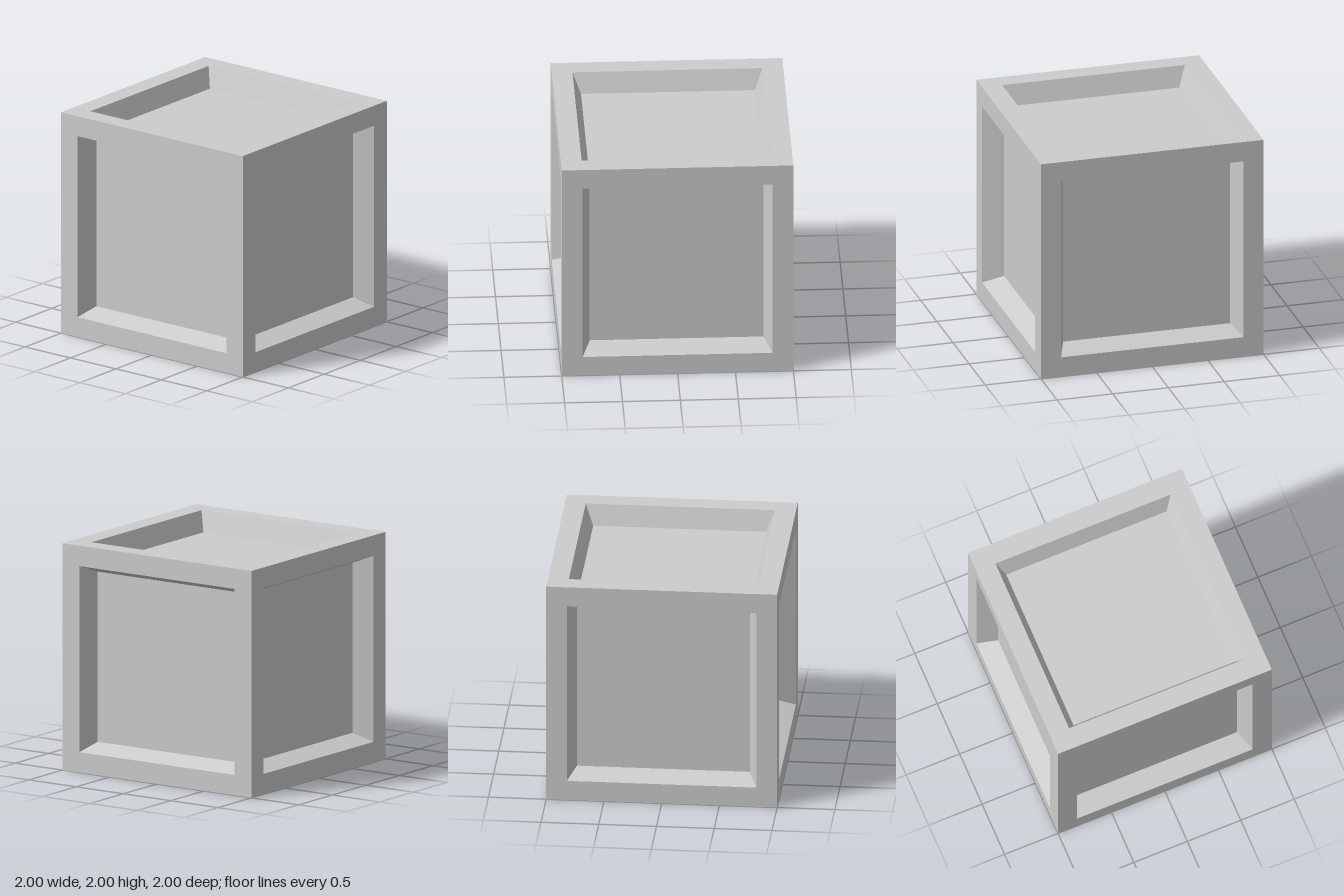
import * as THREE from 'three';

const HALF = 1;        // half of the cube edge
const OPENING = 0.82;  // half width of the recess at the surface
const FLOOR = 0.75;    // half width of the recessed panel
const DEPTH = 0.175;   // depth of the recess

// Four flat quads joining an outer square ring to an inner one, facing +z
function squareRing(outer, outerZ, inner, innerZ) {
  const corners = [[-1, -1], [1, -1], [1, 1], [-1, 1]];
  const positions = [];
  for (let i = 0; i < 4; i++) {
    const [ax, ay] = corners[i];
    const [bx, by] = corners[(i + 1) % 4];
    const a = [ax * outer, ay * outer, outerZ];
    const b = [bx * outer, by * outer, outerZ];
    const c = [bx * inner, by * inner, innerZ];
    const d = [ax * inner, ay * inner, innerZ];
    positions.push(...a, ...b, ...c, ...a, ...c, ...d);
  }
  const geometry = new THREE.BufferGeometry();
  geometry.setAttribute('position', new THREE.Float32BufferAttribute(positions, 3));
  geometry.computeVertexNormals();
  return geometry;
}

export function createModel() {
  const model = new THREE.Group();
  model.name = 'panelledCrate';

  const grey = new THREE.MeshStandardMaterial({ color: 0xcccccc });
  grey.name = 'light grey';

  // Parts of one side, built facing +z
  const parts = {
    frame: squareRing(HALF, HALF, OPENING, HALF),
    recessWalls: squareRing(OPENING, HALF, FLOOR, HALF - DEPTH),
    panel: new THREE.PlaneGeometry(FLOOR * 2, FLOOR * 2).translate(0, 0, HALF - DEPTH),
  };

  // The same side turned to all six directions
  const q = Math.PI / 2;
  const sides = {
    front: [0, 0], left: [0, q], back: [0, 2 * q], right: [0, -q],
    top: [-q, 0], bottom: [q, 0],
  };
  for (const [name, [rx, ry]] of Object.entries(sides)) {
    const side = new THREE.Group();
    side.name = name + 'Side';
    for (const [part, geometry] of Object.entries(parts)) {
      const mesh = new THREE.Mesh(geometry, grey);
      mesh.name = part;
      side.add(mesh);
    }
    side.rotation.set(rx, ry, 0);
    side.position.y = HALF;
    model.add(side);
  }
  return model;
}
